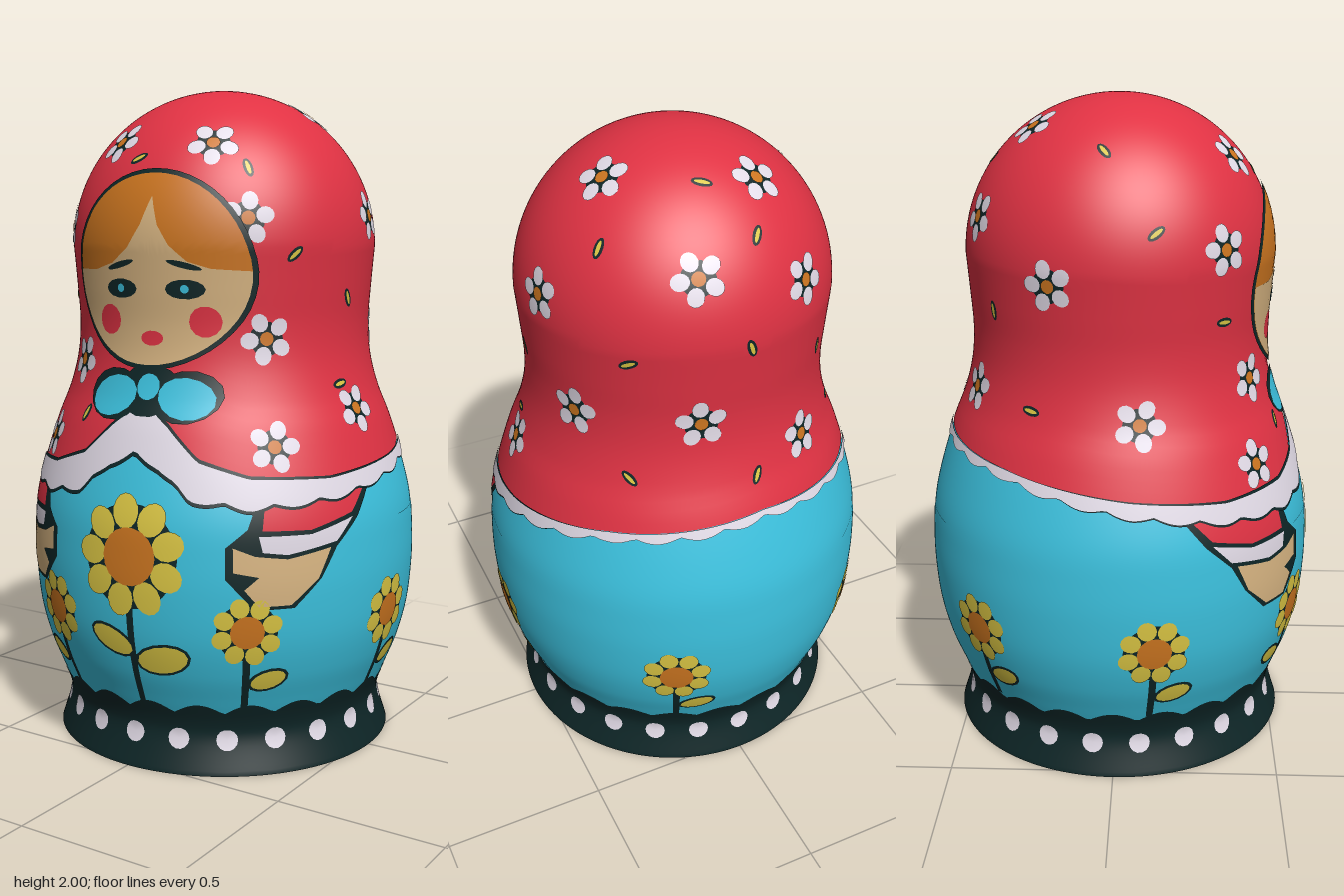
import * as THREE from 'three';
import { mergeGeometries } from 'three/addons/utils/BufferGeometryUtils.js';

const paint = (name, color) => Object.assign(new THREE.MeshStandardMaterial({ color }), { name });
const RAD = Math.PI / 180, STEP = 0.0015; // STEP: height of one paint layer
const HEAD_Y = 1.53, HEAD_R = 0.47;

// Profile of the turned body: [radius, height]; the head above is a half sphere
const profile = new THREE.SplineCurve([
  [0.53, 0], [0.5, 0.1], [0.503, 0.15], [0.53, 0.22], [0.565, 0.31], [0.592, 0.42], [0.604, 0.55], [0.603, 0.66],
  [0.594, 0.76], [0.567, 0.87], [0.525, 1], [0.485, 1.1], [0.46, 1.2], [0.453, 1.3], [0.46, 1.41], [HEAD_R, HEAD_Y],
].map(p => new THREE.Vector2(...p))).getPoints(240);

function lookup(table, x) {
  let i = 1;
  while (i < table.length - 1 && table[i][0] < x) i++;
  const [a, b] = [table[i - 1], table[i]];
  return a[1] + (b[1] - a[1]) * Math.min(1, Math.max(0, (x - a[0]) / (b[0] - a[0])));
}
const profileTable = profile.map(p => [p.y, p.x]);
const radius = y => y > HEAD_Y ? Math.sqrt(Math.max(0, HEAD_R ** 2 - (y - HEAD_Y) ** 2)) : lookup(profileTable, y);

// Point and normal of the body at an azimuth and height
function surface(az, y, layer) {
  const r = radius(y);
  let nr = 1, ny;
  if (y > HEAD_Y) { nr = r / HEAD_R; ny = (y - HEAD_Y) / HEAD_R; }
  else ny = -(radius(y + 0.012) - radius(y - 0.012)) / 0.024;
  const n = new THREE.Vector3(nr * Math.sin(az), ny, nr * Math.cos(az)).normalize();
  const p = new THREE.Vector3(r * Math.sin(az), y, r * Math.cos(az)).addScaledVector(n, layer * STEP);
  return { p, n };
}

function geometry(samples, index) {
  const g = new THREE.BufferGeometry();
  g.setAttribute('position', new THREE.Float32BufferAttribute(samples.flatMap(s => s.p.toArray()), 3));
  g.setAttribute('normal', new THREE.Float32BufferAttribute(samples.flatMap(s => s.n.toArray()), 3));
  g.setIndex(index);
  return g;
}

// Band all round the body between two heights given per azimuth
function band(low, high, layer, rows, ease = t => t) {
  const N = 240, samples = [], index = [];
  for (let j = 0; j <= rows; j++) for (let i = 0; i <= N; i++) {
    const az = i / N * Math.PI * 2 - Math.PI, a = low(az), b = high(az);
    samples.push(surface(az, a + (b - a) * ease(j / rows), layer));
    if (i < N && j < rows) {
      const k = j * (N + 1) + i;
      index.push(k, k + 1, k + N + 2, k, k + N + 2, k + N + 1);
    }
  }
  return geometry(samples, index);
}

// Painted patch: an outline filled in rings from its centre and laid on the body
function patch(map, layer, outline, centre) {
  const pts = [];
  let area = 0, reach = 0;
  outline.forEach(([x, y], i) => {
    const [X, Y] = outline[(i + 1) % outline.length];
    area += x * Y - X * y;
    const n = Math.ceil(Math.hypot(X - x, Y - y) / 0.03);
    for (let k = 0; k < n; k++) pts.push([x + (X - x) * k / n, y + (Y - y) * k / n]);
    reach = Math.max(reach, Math.hypot(x - centre[0], y - centre[1]));
  });
  if (area < 0) pts.reverse();
  const rings = Math.ceil(reach / 0.035), n = pts.length, index = [];
  const samples = [surface(...map(...centre), layer)];
  for (let r = 1; r <= rings; r++) pts.forEach(([x, y], i) => {
    const t = r / rings, j = (i + 1) % n, o = 1 + (r - 1) * n, q = o - n;
    samples.push(surface(...map(centre[0] + (x - centre[0]) * t, centre[1] + (y - centre[1]) * t), layer));
    if (r === 1) index.push(0, o + i, o + j);
    else index.push(q + i, o + i, o + j, q + i, o + j, q + j);
  });
  return geometry(samples, index);
}
function oval(map, layer, x, y, rx, ry, turn = 0, n = 14) {
  const c = Math.cos(turn), s = Math.sin(turn);
  return patch(map, layer, Array.from({ length: n }, (_, i) => {
    const a = i / n * Math.PI * 2, u = rx * Math.cos(a), v = ry * Math.sin(a);
    return [x + u * c - v * s, y + u * s + v * c];
  }), [x, y]);
}

// Mappings: seen straight from the front, unrolled, and around one spot
const front = (x, y) => [Math.asin(Math.max(-1, Math.min(1, x / radius(y)))), y];
const unrolled = (u, y) => [u / 0.6, y];
function spot(deg, y0) {
  const { p, n } = surface(deg * RAD, y0, 0);
  const right = new THREE.Vector3(Math.cos(deg * RAD), 0, -Math.sin(deg * RAD));
  const up = n.clone().cross(right);
  return (u, v) => {
    const q = p.clone().addScaledVector(right, u).addScaledVector(up, v);
    const d = Math.hypot(q.x, q.y - HEAD_Y, q.z);
    return [Math.atan2(q.x, q.z), y0 > 1.45 ? HEAD_Y + HEAD_R * (q.y - HEAD_Y) / d : q.y];
  };
}

// Edge of the shawl by angle from the front knot
const FRONT = 5 * RAD;
const redEdge = [[0, 1.09], [10, 1.02], [20, 0.93], [35, 0.885], [60, 0.875], [90, 0.905], [130, 0.96], [180, 1.0]];
const whiteEdge = [[0, 0.955], [8, 0.925], [18, 0.84], [35, 0.815], [60, 0.83], [90, 0.875], [130, 0.945], [180, 0.985]];
const fromFront = az => Math.abs(Math.atan2(Math.sin(az - FRONT), Math.cos(az - FRONT))) / RAD;
const shawlLow = az => lookup(redEdge, fromFront(az));
const trimLow = az => lookup(whiteEdge, fromFront(az)) - 0.016 * Math.abs(Math.sin(fromFront(az) * RAD * 13));
const line = az => 0.013 * Math.max(0, 1 - fromFront(az) / 130);

export function createModel() {
  const red = paint('red', 0xe03243), blue = paint('blue', 0x3cc2df), dark = paint('dark', 0x0e2627);
  const white = paint('white', 0xe9e2ee), yellow = paint('yellow', 0xdcc744), orange = paint('orange', 0xcd7620);
  const skin = paint('skin', 0xd8b582);
  const doll = new THREE.Group();
  doll.name = 'nestingDoll';
  const add = (name, material, ...geos) => {
    const mesh = new THREE.Mesh(mergeGeometries(geos), material);
    mesh.name = name;
    doll.add(mesh);
  };
  const at = y => () => y;

  // Body halves, shawl and foot
  add('lowerBody', blue, band(at(0.14), at(0.73), 0, 40));
  add('upperBody', blue, band(at(0.7), at(1.12), -1, 24));
  add('shawl', red, band(shawlLow, at(2), 1, 56, t => Math.sin(t * Math.PI / 2)));
  add('shawlOutline', dark, band(az => trimLow(az) - line(az), az => shawlLow(az) + line(az), 3, 8));
  add('shawlTrim', white, band(trimLow, shawlLow, 4, 8));
  add('foot', dark, band(at(0), az => 0.185 + 0.03 * Math.abs(Math.sin(az * 11)), 1, 16));
  add('footBottom', dark, new THREE.CircleGeometry(0.53, 96).rotateX(Math.PI / 2));
  add('footDots', white, ...Array.from({ length: 22 }, (_, i) => oval(spot(i * 360 / 22 + 1, 0.1), 2, 0, 0, 0.032, 0.032)));

  // Arms, mirrored about the front line
  for (const s of [1, -1]) {
    const side = s > 0 ? 'left' : 'right';
    const limb = (name, mat, layer, pts, c) => {
      const f = ([d, y]) => [(5 + s * d) * RAD * 0.6, y];
      add(side + name, mat, patch(unrolled, layer, pts.map(f), f(c)));
    };
    limb('ArmOutline', dark, 1, [[37, 0.83], [75, 0.85], [68, 0.76], [60, 0.685], [55, 0.6], [47, 0.52], [36, 0.52], [28, 0.61], [28, 0.7], [34, 0.75]], [47, 0.7]);
    limb('Sleeve', red, 2, [[39, 0.82], [72, 0.84], [66, 0.775], [52, 0.74], [38, 0.745]], [53, 0.785]);
    limb('Cuff', white, 2, [[37, 0.73], [52, 0.728], [66, 0.762], [60, 0.7], [45, 0.675], [38, 0.685]], [50, 0.71]);
    limb('Hand', skin, 2, [[30, 0.7], [36, 0.675], [45, 0.663], [58, 0.685], [54, 0.6], [46, 0.53], [37, 0.53], [33, 0.58], [37, 0.615], [30, 0.63]], [43, 0.63]);
  }

  // Face
  add('faceOutline', dark, oval(front, 5, 0.037, 1.463, 0.29, 0.285, 0, 48));
  add('hair', orange, oval(front, 6, 0.037, 1.463, 0.277, 0.272, 0, 48));
  const chin = Array.from({ length: 25 }, (_, i) => {
    const a = Math.PI * (1 + i / 24);
    return [0.037 + 0.277 * Math.cos(a), 1.463 + 0.272 * Math.sin(a)];
  });
  add('face', skin, patch(front, 7, [...chin, [0.22, 1.47], [0.16, 1.49], [0.11, 1.535], [0.075, 1.59], [0.05, 1.67],
    [0.02, 1.59], [-0.02, 1.53], [-0.08, 1.485], [-0.15, 1.465]], [0.04, 1.4]));
  for (const s of [1, -1]) {
    const side = s > 0 ? 'left' : 'right';
    add(side + 'Eye', dark, oval(front, 8, 0.05 + s * 0.1, 1.412, 0.055, 0.028), oval(front, 8, 0.05 + s * 0.1, 1.48, 0.05, 0.009, -s * 0.25));
    add(side + 'Iris', blue, oval(front, 9, 0.05 + s * 0.1, 1.413, 0.012, 0.012));
    add(side + 'Cheek', red, oval(front, 8, 0.05 + s * 0.15, 1.32, 0.042, 0.045));
  }
  add('mouth', red, oval(front, 8, 0.05, 1.27, 0.035, 0.022));

  // Bow
  add('bowOutline', dark, oval(front, 5, 0.05, 1.12, 0.1, 0.075), oval(front, 5, -0.065, 1.105, 0.098, 0.075), oval(front, 5, 0.165, 1.105, 0.098, 0.075));
  add('bow', blue, oval(front, 6, -0.065, 1.1, 0.082, 0.058, 0.25), oval(front, 6, 0.165, 1.1, 0.082, 0.058, -0.25), oval(front, 6, 0.05, 1.13, 0.036, 0.038));

  // Ring of petals around a centre
  const petals = (m, layer, n, dist, along, across, turn) => Array.from({ length: n }, (_, i) => {
    const a = turn + i / n * Math.PI * 2;
    return oval(m, layer, dist * Math.cos(a), dist * Math.sin(a), along, across, a);
  });

  // Sunflowers: [azimuth, height, size, side of leaf]
  [[6, 0.66, 1.62, 0], [-24, 0.455, 1, -1], [39, 0.455, 0.95, 1], [88, 0.45, 1, 1], [156, 0.45, 1, 1], [-133, 0.45, 1, 1], [-78, 0.45, 1, 1]].forEach(([deg, y, k, leaf]) => {
    const m = spot(deg, y), end = 0.2 - y;
    const leaves = leaf ? [[leaf * 0.068, -0.155, 0.055, 0.028, leaf * 0.25]] : [[-0.07, -0.255, 0.075, 0.035, -0.35], [0.1, -0.3, 0.085, 0.042, 0.15]];
    add('sunflowerStem', dark, patch(m, 1, [[-0.011, end], [0.011, end], [0.011, 0], [-0.011, 0]], [0, end / 2]), oval(m, 1.4, 0, 0, 0.094 * k, 0.094 * k, 0, 24),
      ...leaves.map(([x, v, a, b, t]) => oval(m, 1.2, x, v, a + 0.01, b + 0.008, t)));
    add('sunflowerPetals', yellow, ...petals(m, 2, k > 1 ? 9 : 8, 0.08 * k, 0.031 * k, (k > 1 ? 0.026 : 0.029) * k, 0.3),
      ...leaves.map(([x, v, a, b, t]) => oval(m, 2, x, v, a, b, t)));
    add('sunflowerCentre', orange, oval(m, 3, 0, 0, 0.052 * k, 0.052 * k, 0, 18));
  });

  // Small white flowers on the shawl: [azimuth, height]
  [[-23, 1.83], [28, 1.82], [-48, 1.59], [41, 1.61], [-32, 1.19], [48, 1.27], [-40, 0.955], [48, 0.97],
    [109, 1.92], [102, 1.62], [117, 1.29], [83, 1.055], [164, 1.74], [165, 1.3], [-151, 1.91], [-152, 1.66],
    [-113, 1.5], [-152, 1.15], [-81, 1.11]].forEach(([deg, y], i) => {
    const m = spot(deg, y);
    add('flowerShade', dark, oval(m, 2, 0, 0, 0.05, 0.05));
    add('flowerPetals', white, ...petals(m, 3, 5, 0.05, 0.027, 0.024, i * 0.9));
    add('flowerCentre', orange, oval(m, 4, 0, 0, 0.02, 0.02));
  });

  // Loose leaves on the shawl: [azimuth, height]
  [[-5, 1.78], [42, 1.75], [-47, 1.38], [-20, 1.04], [17, 1.05], [58, 1.51], [85, 1.38], [78, 1.13], [125, 1.79],
    [173, 1.93], [-169, 1.81], [-95, 1.86], [140, 1.5], [-140, 1.4], [-120, 1.13], [-175, 1.1], [140, 1.12], [-75, 1.65], [-178, 1.53]].forEach(([deg, y], i) => {
    const m = spot(deg, y), turn = i * 1.3 + 0.5;
    add('leafOutline', dark, oval(m, 2, 0, 0, 0.03, 0.014, turn));
    add('leaf', yellow, oval(m, 3, 0, 0, 0.022, 0.006, turn));
  });
  return doll;
}
